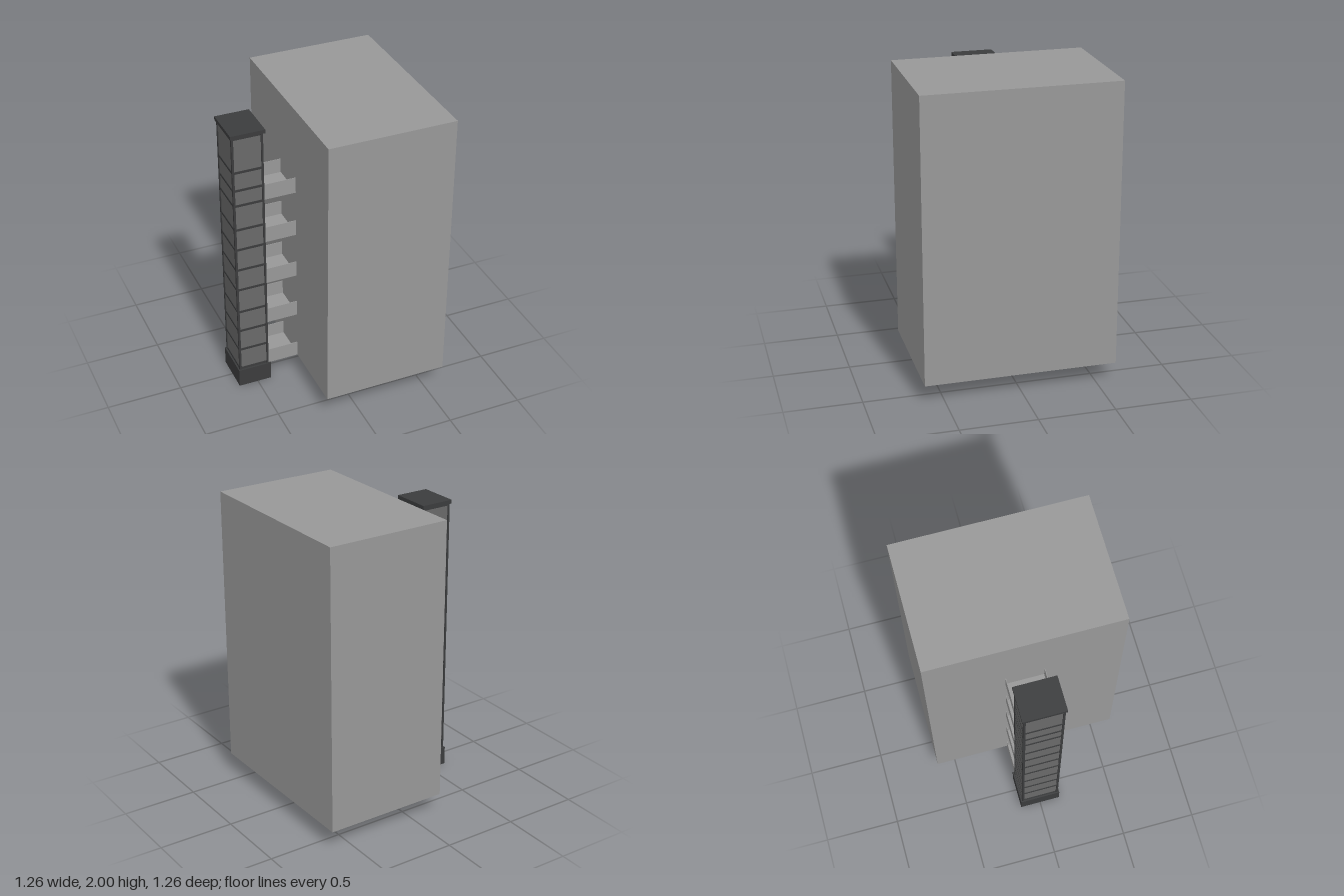
import * as THREE from 'three';

const wall = new THREE.MeshStandardMaterial({ color: 0x989898, flatShading: true });
const panel = new THREE.MeshStandardMaterial({ color: 0x696969, flatShading: true });
const dark = new THREE.MeshStandardMaterial({ color: 0x3b3c3d, flatShading: true });

// Box given by its lower and upper limits on each axis
function box(name, [x0, x1], [y0, y1], [z0, z1], material) {
  const mesh = new THREE.Mesh(new THREE.BoxGeometry(x1 - x0, y1 - y0, z1 - z0), material);
  mesh.position.set((x0 + x1) / 2, (y0 + y1) / 2, (z0 + z1) / 2);
  mesh.name = name;
  return mesh;
}

export function createModel() {
  const model = new THREE.Group();
  model.name = 'buildingWithLiftTower';

  // Main block
  model.add(box('building', [-0.207, 0.63], [0.125, 2], [-0.628, 0.628], wall));

  // Lift tower: plinth, panelled shaft and roof cap
  const tower = new THREE.Group();
  tower.name = 'liftTower';
  tower.add(box('plinth', [-0.63, -0.404], [0, 0.127], [-0.137, 0.137], dark));
  tower.add(box('shaftPanels', [-0.616, -0.422], [0.127, 1.892], [-0.123, 0.123], panel));
  tower.add(box('roofCap', [-0.63, -0.404], [1.892, 1.917], [-0.137, 0.137], dark));

  // Corner posts
  for (const x of [-0.622, -0.43])
    for (const z of [-0.128, 0.114])
      tower.add(box('cornerPost', [x, x + 0.014], [0.127, 1.892], [z, z + 0.014], dark));

  // Horizontal rails around the shaft
  for (const y of [0.137, 0.293, 0.447, 0.6, 0.775, 0.93, 1.085, 1.235, 1.412, 1.522, 1.65, 1.887])
    tower.add(box('rail', [-0.62, -0.418], [y - 0.008, y + 0.008], [-0.126, 0.126], dark));
  model.add(tower);

  // Walkways from tower to building: floor slab with two parapets
  for (const [bottom, top] of [[0.125, 0.232], [0.463, 0.572], [0.78, 0.889], [1.098, 1.207], [1.415, 1.524]]) {
    const walkway = new THREE.Group();
    walkway.name = 'walkway';
    const span = [-0.42, -0.207];
    walkway.add(box('floor', span, [bottom, bottom + 0.012], [-0.122, 0.122], wall));
    for (const z of [-0.126, 0.122])
      walkway.add(box('parapet', span, [bottom, top], [z, z + 0.004], wall));
    model.add(walkway);
  }
  return model;
}
